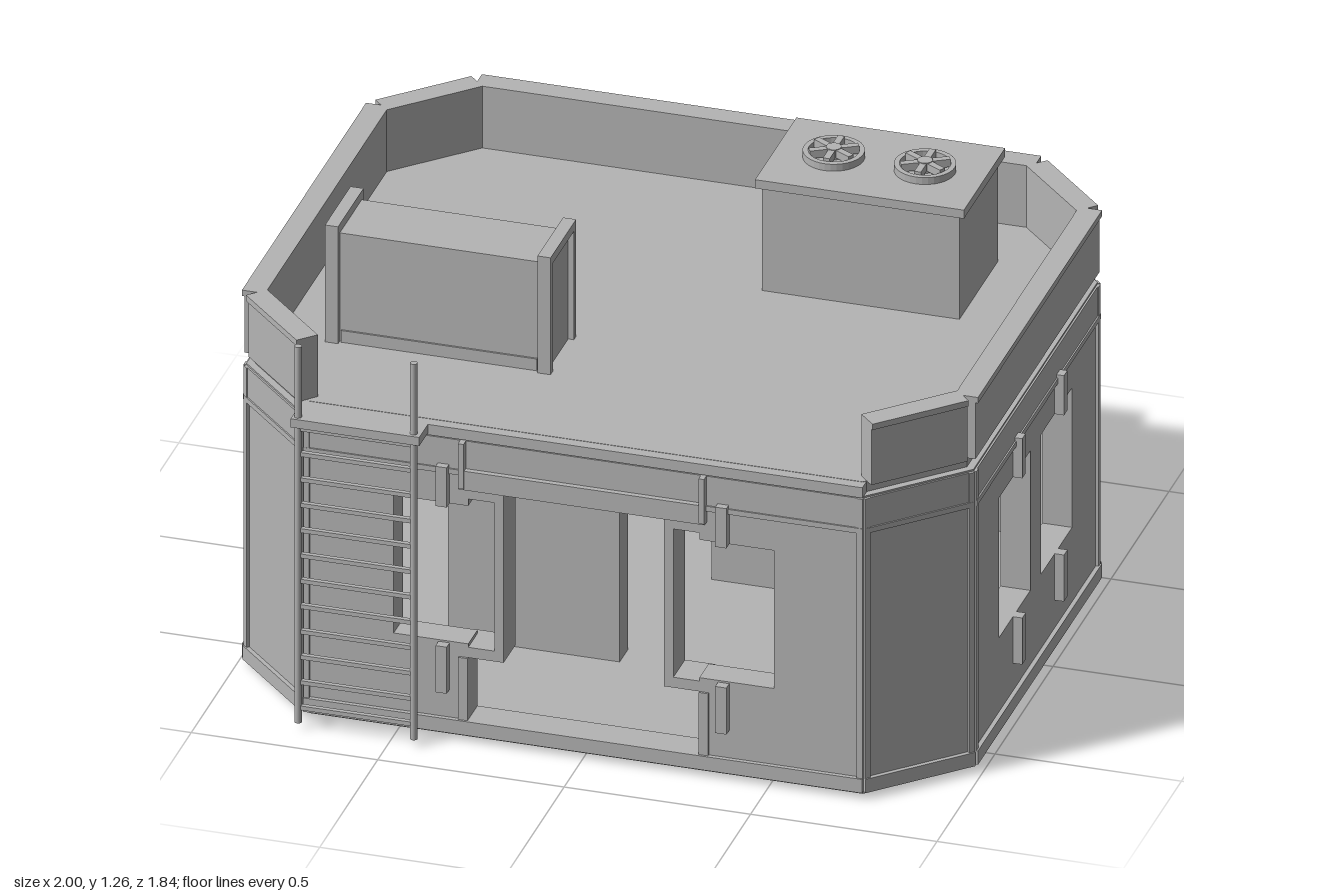
import * as THREE from 'three';

const grey = new THREE.MeshStandardMaterial({ color: 0xb4b4b4 });
grey.name = 'plain grey';

const CZ = 0.07; // building centre in z
const HX = 0.975, HZ = 0.76; // half extents of the wall faces
const SX = 0.75, SZ = 0.535; // half lengths of the straight walls

function add(parent, name, geometry, x = 0, y = 0, z = 0) {
  const mesh = new THREE.Mesh(geometry, grey);
  mesh.name = name;
  mesh.position.set(x, y, z);
  parent.add(mesh);
  return mesh;
}

// Box given by its limits
function box(parent, name, x0, x1, y0, y1, z0, z1) {
  return add(parent, name, new THREE.BoxGeometry(x1 - x0, y1 - y0, z1 - z0),
    (x0 + x1) / 2, (y0 + y1) / 2, (z0 + z1) / 2);
}

// Eight-sided slab following the plan
function slab(parent, name, y0, y1, inset) {
  const a = HX - inset, b = HZ - inset, c = SX - inset * 0.4, d = SZ - inset * 0.4;
  const pts = [[c, b], [a, d], [a, -d], [c, -b], [-c, -b], [-a, -d], [-a, d], [-c, b]];
  const shape = new THREE.Shape(pts.map(p => new THREE.Vector2(p[0], p[1])));
  const geo = new THREE.ExtrudeGeometry(shape, { depth: y1 - y0, bevelEnabled: false });
  geo.rotateX(-Math.PI / 2);
  add(parent, name, geo, 0, y0, 0);
}

// Wall panel with its outer face at local z = 0
function panel(parent, w, holes) {
  const h = w / 2;
  const toV = list => list.map(p => new THREE.Vector2(p[0], p[1]));
  const shape = new THREE.Shape(toV([[-h, 0.02], [h, 0.02], [h, 0.875], [-h, 0.875]]));
  for (const hole of holes) shape.holes.push(new THREE.Path(toV(hole)));
  const geo = new THREE.ExtrudeGeometry(shape, { depth: 0.08, bevelEnabled: false });
  add(parent, 'wall', geo, 0, 0, -0.08);
}

// Tabs above and below a window
function windowTabs(parent, x) {
  for (const [y0, y1] of [[0.14, 0.275], [0.68, 0.795]])
    box(parent, 'windowTab', x - 0.015, x + 0.015, y0, y1, -0.01, 0.025);
}

// Door opening joined to a window on each side, with C-shaped inner frames
function doorWall(side) {
  panel(side, SX * 2, [[
    [-0.31, 0.06], [0.31, 0.06], [0.31, 0.28], [0.51, 0.28], [0.51, 0.68], [0.31, 0.68],
    [0.31, 0.73], [-0.31, 0.73], [-0.31, 0.68], [-0.51, 0.68], [-0.51, 0.28], [-0.31, 0.28],
  ]]);
  for (const s of [-1, 1]) {
    const limits = (a, b) => (s > 0 ? [a, b] : [-b, -a]);
    box(side, 'windowPost', ...limits(0.215, 0.24), 0.24, 0.73, -0.1, 0);
    box(side, 'windowArm', ...limits(0.24, 0.32), 0.7, 0.73, -0.1, 0);
    box(side, 'windowArm', ...limits(0.24, 0.32), 0.24, 0.27, -0.1, 0);
    box(side, 'doorTrim', ...limits(0.31, 0.335), 0.06, 0.24, -0.01, 0.006);
    box(side, 'lintelBracket', ...limits(0.315, 0.33), 0.74, 0.87, 0, 0.025);
    windowTabs(side, s * 0.375);
  }
  box(side, 'lintel', -0.33, 0.33, 0.735, 0.79, 0, 0.02);
}

function sideWall(side) {
  const rect = x => [[x - 0.135, 0.275], [x + 0.135, 0.275], [x + 0.135, 0.68], [x - 0.135, 0.68]];
  panel(side, SZ * 2, [rect(-0.18), rect(0.18)]);
  windowTabs(side, -0.18);
  windowTabs(side, 0.18);
}

// One face of the building with its trims and parapet
function buildSide(parent, name, x, z, angle, width, kind, parapet) {
  const side = new THREE.Group();
  side.name = name;
  side.position.set(x, 0, z);
  side.rotation.y = angle;
  parent.add(side);
  if (kind === 'door') doorWall(side);
  else if (kind === 'window') sideWall(side);
  else panel(side, width, []);
  const h = width / 2;
  box(side, 'baseTrim', -h, h, 0.02, 0.06, -0.03, 0.012);
  box(side, 'upperBand', -h, h, 0.78, 0.87, -0.03, 0.005);
  box(side, 'bandRail', -h, h, 0.77, 0.785, -0.03, 0.009);
  for (const s of [-1, 1])
    box(side, 'cornerStrip', s * (h - 0.008) - 0.008, s * (h - 0.008) + 0.008, 0.06, 0.87, -0.03, 0.008);
  if (parapet) {
    const p = kind === 'corner' ? h - 0.02 : h;
    box(side, 'parapet', -p, p, 0.905, 1.068, -0.05, 0.005);
    box(side, 'parapetCap', -p, p, 1.068, 1.085, -0.05, 0.012);
  } else {
    box(side, 'roofEdge', -h, h, 0.875, 0.905, -0.03, 0.01);
  }
}

// Rooftop cooling unit with two six-spoked fans
function coolingUnit(parent) {
  const unit = new THREE.Group();
  unit.name = 'coolingUnit';
  parent.add(unit);
  box(unit, 'unitBody', 0.185, 0.715, 0.9, 1.205, -0.44, -0.11);
  box(unit, 'unitLid', 0.17, 0.73, 1.205, 1.23, -0.455, -0.1);
  box(unit, 'unitPanel', 0.21, 0.69, 0.93, 1.17, -0.455, -0.44);
  for (const x of [0.325, 0.57]) {
    const ring = new THREE.Shape().absarc(0, 0, 0.08, 0, Math.PI * 2);
    ring.holes.push(new THREE.Path().absarc(0, 0, 0.066, 0, Math.PI * 2, true));
    const geo = new THREE.ExtrudeGeometry(ring, { depth: 0.02, bevelEnabled: false, curveSegments: 16 });
    geo.rotateX(-Math.PI / 2);
    add(unit, 'fanRing', geo, x, 1.23, -0.28);
    add(unit, 'fanHub', new THREE.CylinderGeometry(0.02, 0.02, 0.03, 12), x, 1.245, -0.28);
    for (let i = 0; i < 3; i++)
      add(unit, 'fanBlade', new THREE.BoxGeometry(0.13, 0.022, 0.018), x, 1.247, -0.28)
        .rotation.y = Math.PI / 6 + i * Math.PI / 3;
  }
}

// Long rooftop vent with framed ends
function roofVent(parent) {
  const vent = new THREE.Group();
  vent.name = 'roofVent';
  parent.add(vent);
  box(vent, 'ventBody', -0.785, -0.21, 0.9, 1.22, 0.285, 0.475);
  box(vent, 'ventRail', -0.76, -0.235, 0.905, 0.94, 0.28, 0.48);
  for (const x of [-0.8, -0.23]) {
    box(vent, 'ventFrameTop', x, x + 0.035, 1.22, 1.245, 0.27, 0.49);
    box(vent, 'ventFrameLeg', x, x + 0.035, 0.905, 1.22, 0.27, 0.29);
    box(vent, 'ventFrameLeg', x, x + 0.035, 0.905, 1.22, 0.47, 0.49);
  }
}

function ladder(parent) {
  const group = new THREE.Group();
  group.name = 'ladder';
  parent.add(group);
  for (const x of [-0.745, -0.435])
    add(group, 'ladderRail', new THREE.CylinderGeometry(0.01, 0.01, 1.09, 8), x, 0.565, 0.898);
  for (let i = 0; i < 12; i++)
    box(group, 'ladderRung', -0.74, -0.44, 0.058 + i * 0.0735, 0.07 + i * 0.0735, 0.891, 0.904);
  box(group, 'ladderPlatform', -0.76, -0.415, 0.88, 0.905, 0.8, 0.915);
}

function canopy(parent) {
  const group = new THREE.Group();
  group.name = 'canopy';
  parent.add(group);
  box(group, 'canopyRoof', -0.34, 0.335, 0.77, 0.805, -0.922, -0.69);
  for (const x of [-0.305, 0.3])
    box(group, 'canopyPost', x - 0.015, x + 0.015, 0.02, 0.77, -0.882, -0.852);
}

export function createModel() {
  const model = new THREE.Group();
  model.name = 'building';
  const shell = new THREE.Group();
  shell.name = 'shell';
  shell.position.z = CZ;
  model.add(shell);

  slab(shell, 'baseSlab', 0, 0.03, 0.022);
  slab(shell, 'roofSlab', 0.87, 0.906, 0.02);

  // Straight walls and chamfered corners
  const q = Math.PI / 2;
  buildSide(shell, 'frontSide', 0, HZ, 0, SX * 2, 'door', false);
  buildSide(shell, 'backSide', 0, -HZ, Math.PI, SX * 2, 'door', true);
  buildSide(shell, 'leftSide', HX, 0, q, SZ * 2, 'window', true);
  buildSide(shell, 'rightSide', -HX, 0, -q, SZ * 2, 'window', true);
  for (const sx of [-1, 1])
    for (const sz of [-1, 1])
      buildSide(shell, 'cornerSide', sx * (HX + SX) / 2, sz * (HZ + SZ) / 2,
        Math.atan2(sx, sz), 0.318, 'corner', true);

  // Inner partitions, offset behind each door
  box(model, 'frontPartition', -0.51, -0.05, 0.03, 0.87, 0.29, 0.36);
  box(model, 'backPartition', 0.04, 0.51, 0.03, 0.87, -0.21, -0.14);
  box(model, 'backLedge', 0.34, 0.43, 0.23, 0.27, -0.74, -0.68);

  coolingUnit(model);
  roofVent(model);
  ladder(model);
  canopy(model);
  return model;
}
